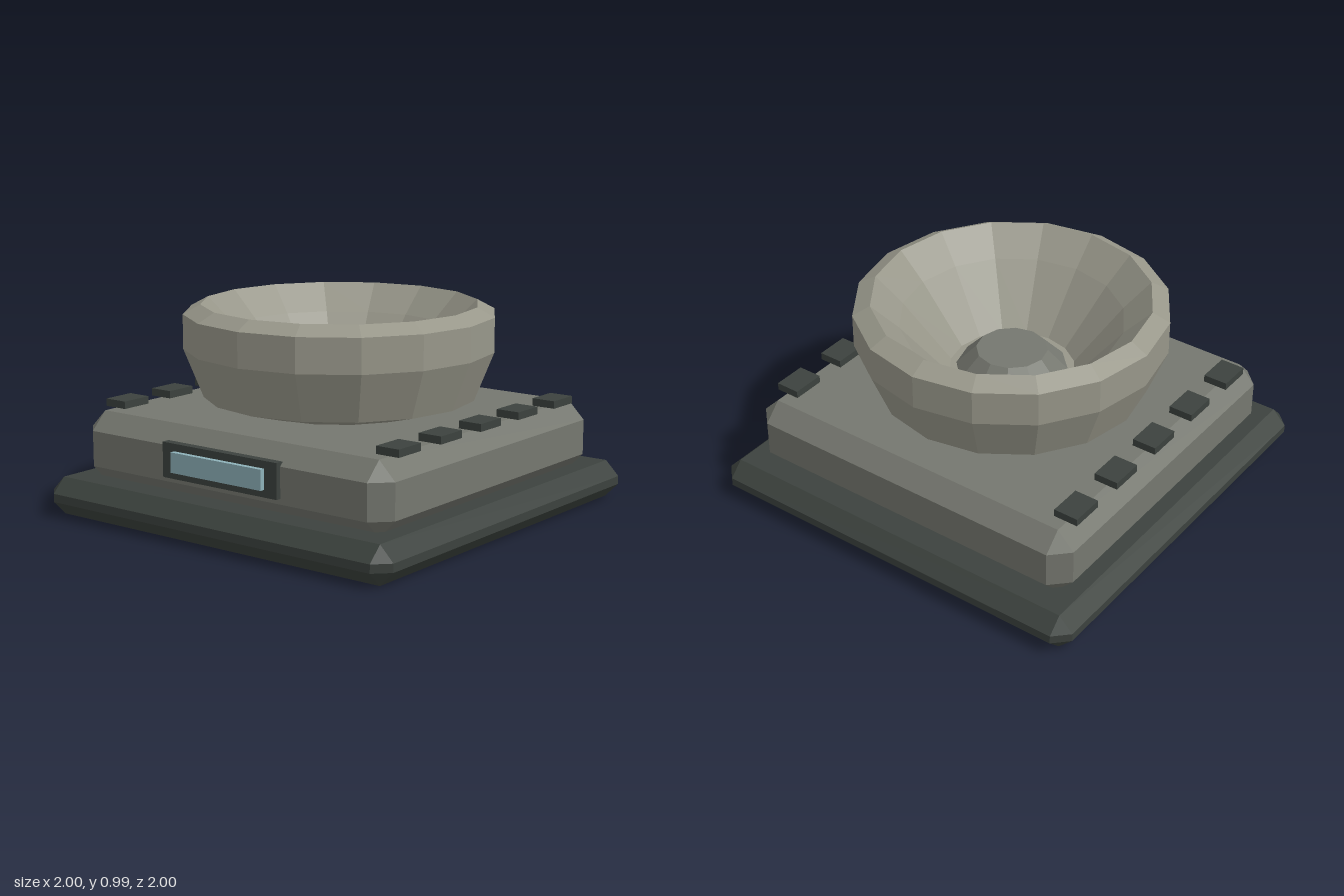
import * as THREE from 'three';
import { ConvexGeometry } from 'three/addons/geometries/ConvexGeometry.js';

const paint = (color) => new THREE.MeshStandardMaterial({ color, flatShading: true });

// Box with every edge chamfered by c, centred on x and z
function chamferBox(hx, y0, y1, hz, c) {
  const points = [];
  const hy = (y1 - y0) / 2, mid = (y0 + y1) / 2;
  for (const sx of [-1, 1]) for (const sy of [-1, 1]) for (const sz of [-1, 1]) {
    for (const [a, b, d] of [[0, c, c], [c, 0, c], [c, c, 0]]) {
      points.push(new THREE.Vector3(sx * (hx - a), mid + sy * (hy - b), sz * (hz - d)));
    }
  }
  return new ConvexGeometry(points);
}

// Faceted solid of revolution from [radius, height] pairs
function lathe(profile, sides) {
  return new THREE.LatheGeometry(profile.map(([r, y]) => new THREE.Vector2(r, y)), sides);
}

export function createModel() {
  const group = new THREE.Group();
  const dark = paint(0x3c423e);
  const grey = paint(0x75776f);
  const pale = paint(0x98978a);
  const blue = paint(0x8db1b8);

  function add(name, geometry, material, x = 0, y = 0, z = 0) {
    const mesh = new THREE.Mesh(geometry, material);
    mesh.name = name;
    mesh.position.set(x, y, z);
    group.add(mesh);
  }

  // Plinth and body
  add('base', chamferBox(1, 0, 0.18, 1, 0.07), dark);
  add('body', chamferBox(0.89, 0.15, 0.49, 0.855, 0.085), grey);

  // Bowl: foot, outer wall, rim, then inside down to the floor
  add('bowl', lathe([
    [0, 0.48], [0.4, 0.48], [0.65, 0.547], [0.743, 0.78], [0.743, 0.945], [0.66, 0.99],
    [0.53, 0.86], [0.3, 0.58], [0, 0.58],
  ], 16), pale);

  // Raised hub in the middle of the bowl
  add('hub', lathe([[0.265, 0.57], [0.265, 0.59], [0.17, 0.69], [0, 0.69]], 12), grey);

  // Display on the front
  add('displayFrame', new THREE.BoxGeometry(0.67, 0.165, 0.04), dark, 0, 0.343, 0.86);
  add('displayScreen', new THREE.BoxGeometry(0.53, 0.095, 0.05), blue, 0, 0.343, 0.88);

  // Five keys along each side
  const key = new THREE.BoxGeometry(0.12, 0.036, 0.162);
  for (const side of [-1, 1]) {
    for (let i = -2; i <= 2; i++) {
      add(side > 0 ? 'leftKey' : 'rightKey', key, dark, side * 0.8, 0.511, i * 0.312);
    }
  }
  return group;
}
